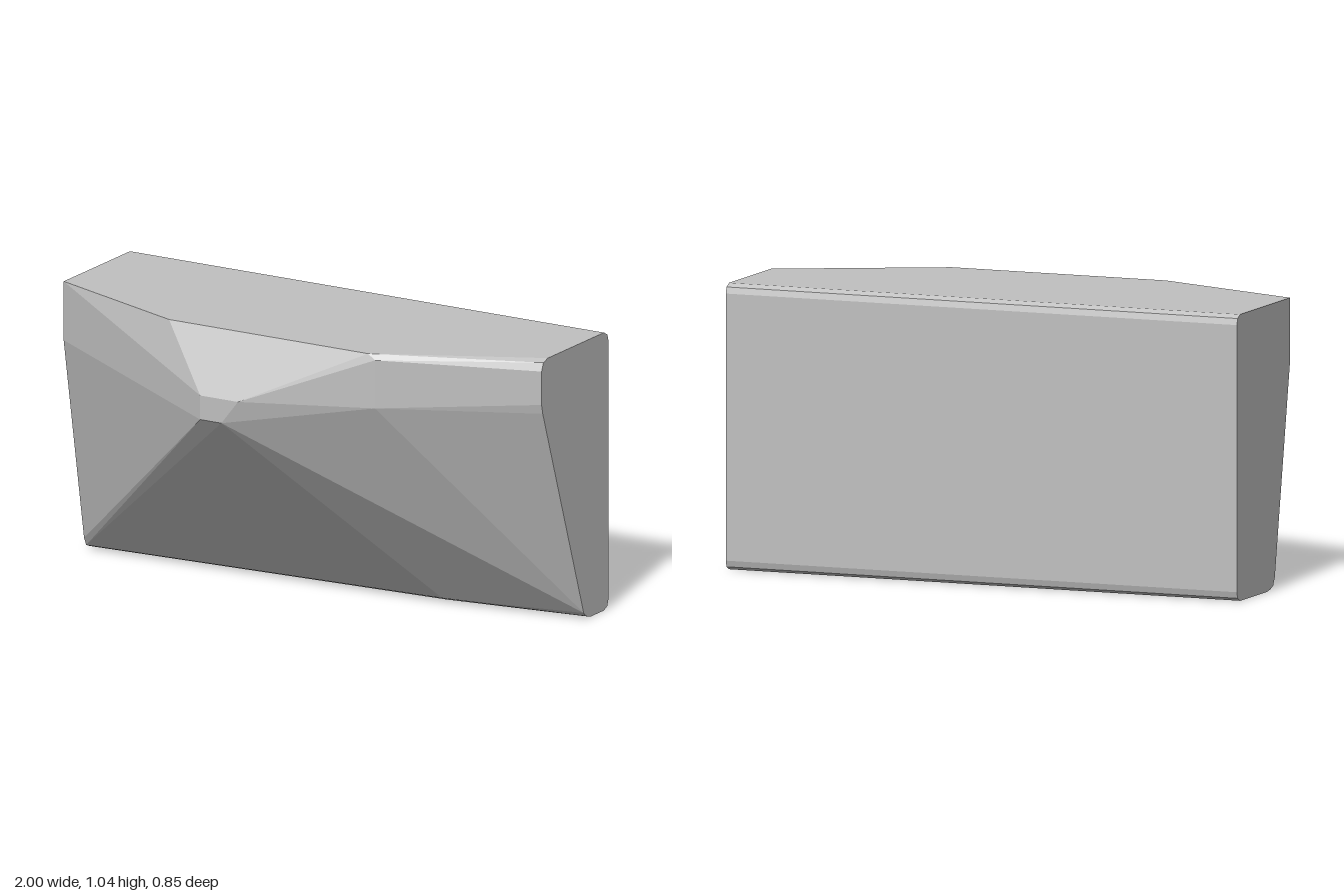
import * as THREE from 'three';
import { ConvexGeometry } from 'three/addons/geometries/ConvexGeometry.js';

export function createModel() {
  const group = new THREE.Group();
  group.name = 'facetedBlock';
  const grey = new THREE.MeshStandardMaterial({ color: 0xc0c0c0 });
  grey.name = 'plain grey';

  const points = [];
  // adds a run of [y, z] profile points at one x position
  const section = (x, profile) => profile.forEach(([y, z]) => points.push(new THREE.Vector3(x, y, z)));

  // flat back with small rounded edges, the same at both ends
  const back = [[0, -0.395], [0.012, -0.418], [0.035, -0.425], [1.005, -0.425], [1.028, -0.418], [1.04, -0.395]];
  section(-1, back);
  section(1, back);

  // right end: sharp upper corner, softened foot
  section(-1, [[1.04, 0.06], [0.82, 0.06], [0.045, -0.08], [0.015, -0.095], [0.005, -0.12], [0, -0.15]]);

  // left end: softened corners at the top, chin and foot
  section(1, [[1.04, -0.01], [1.03, 0.02], [1.0, 0.033], [0.875, 0.033], [0.84, 0.025],
    [0.025, -0.256], [0.01, -0.27], [0, -0.3]]);

  // top ridge
  section(-0.42, [[1.04, 0.28]]);
  section(0.42, [[1.04, 0.28]]);

  // shoulder, and the bend in the bottom edge below it
  section(0.45, [[1.02, 0.282], [0.84, 0.282], [0.016, -0.18], [0, -0.22]]);

  // blunt front peak
  section(-0.2, [[0.825, 0.425], [0.735, 0.425]]);
  section(-0.11, [[0.735, 0.425]]);
  section(-0.04, [[0.825, 0.425]]);

  const body = new THREE.Mesh(new ConvexGeometry(points), grey);
  body.name = 'body';
  group.add(body);
  return group;
}
